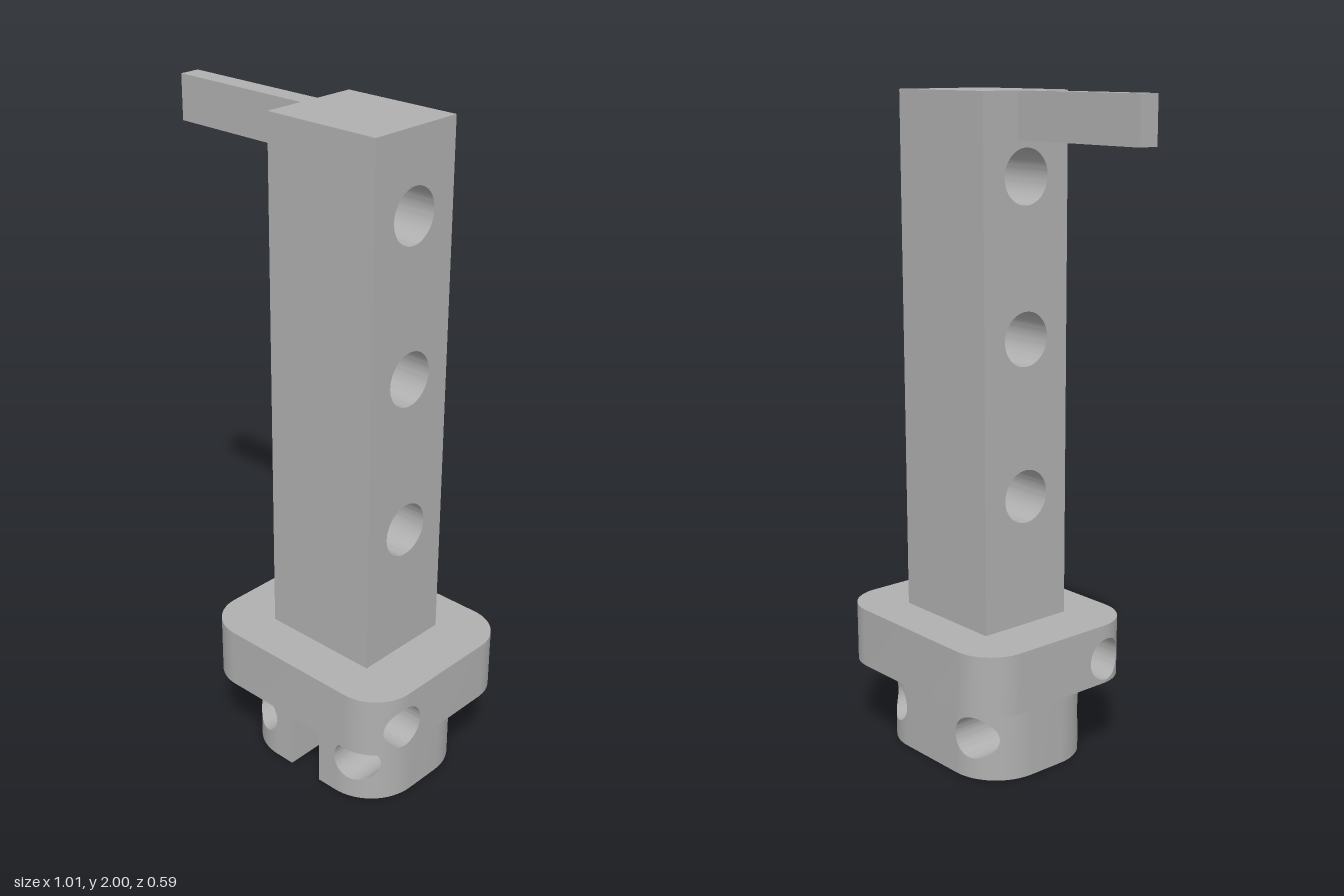
import * as THREE from 'three';
import { toCreasedNormals } from 'three/addons/utils/BufferGeometryUtils.js';

// Half-depth of a rounded rectangle (half sizes a, b, corner radius r) at offset u.
const rounded = (a, b, r) => (u) => {
  const d = Math.max(0, Math.abs(u) - (a - r));
  return b - r + Math.sqrt(Math.max(0, r * r - d * d));
};

// Sample positions along an arc from c - r to c + r, limited to [min, max].
function arc(c, r, min = -Infinity, max = Infinity, n = 32) {
  const list = [];
  for (let i = 0; i <= n; i++) {
    const u = c - r * Math.cos((Math.PI * i) / n);
    if (u > min && u < max) list.push(u);
  }
  return list;
}

// Upright slab running along u from uMin to uMax, between depths lo(u) and hi(u),
// drilled straight through its depth by round holes { u, y, r }.
function slab(uMin, uMax, samples, lo, hi, y0, y1, holes = []) {
  const pos = [];
  const tri = (a, b, c) => {
    const ab = new THREE.Vector3().subVectors(b, a), ac = new THREE.Vector3().subVectors(c, a);
    if (ab.cross(ac).length() > 1e-9) for (const p of [a, b, c]) pos.push(p.x, p.y, p.z);
  };
  const quad = (...q) => {
    const [a, b, c, d] = q.map((p) => new THREE.Vector3(...p));
    tri(a, b, c);
    tri(a, c, d);
  };
  const all = [uMin, uMax, ...samples, ...holes.flatMap((h) => arc(h.u, h.r))];
  const us = all.filter((u) => u >= uMin && u <= uMax).sort((a, b) => a - b)
    .filter((u, i, s) => i === 0 || u - s[i - 1] > 1e-6);

  for (let i = 0; i < us.length - 1; i++) {
    const u = us[i], v = us[i + 1], mid = (u + v) / 2;
    const cut = holes.filter((h) => Math.abs(mid - h.u) < h.r).sort((a, b) => a.y - b.y);
    const levels = (t) => [y0, ...cut.flatMap((h) => {
      const s = Math.sqrt(Math.max(0, h.r ** 2 - (t - h.u) ** 2));
      return [h.y - s, h.y + s];
    }), y1];
    const A = levels(u), B = levels(v);
    const l0 = lo(u), l1 = lo(v), h0 = hi(u), h1 = hi(v);
    for (let k = 0; k < A.length; k += 2) {
      const [a, b, c, d] = [A[k], B[k], B[k + 1], A[k + 1]];
      quad([u, a, h0], [v, b, h1], [v, c, h1], [u, d, h0]);
      quad([u, d, l0], [v, c, l1], [v, b, l1], [u, a, l0]);
      quad([u, d, h0], [v, c, h1], [v, c, l1], [u, d, l0]);
      quad([u, a, l0], [v, b, l1], [v, b, h1], [u, a, h0]);
    }
  }
  const p = uMin, q = uMax;
  quad([p, y0, lo(p)], [p, y0, hi(p)], [p, y1, hi(p)], [p, y1, lo(p)]);
  quad([q, y0, hi(q)], [q, y0, lo(q)], [q, y1, lo(q)], [q, y1, hi(q)]);
  const g = new THREE.BufferGeometry();
  g.setAttribute('position', new THREE.Float32BufferAttribute(pos, 3));
  return toCreasedNormals(g, 0.6);
}

export function createModel() {
  const model = new THREE.Group();
  const grey = new THREE.MeshStandardMaterial({ color: 0xb0b0b0 });
  grey.name = 'grey';
  const add = (name, geometry, x = 0, y = 0, parent = model) => {
    const mesh = new THREE.Mesh(geometry, grey);
    mesh.name = name;
    mesh.position.set(x, y, 0);
    parent.add(mesh);
  };

  // Square post with three cross holes running along x
  const postHoles = [0.837, 1.305, 1.765].map((y) => ({ u: 0, y, r: 0.08 }));
  add('post', slab(-0.156, 0.156, [], () => -0.187, () => 0.187, 0.44, 2, postHoles)
    .rotateY(-Math.PI / 2), 0.149);

  // Side arm at the top of the post
  add('arm', new THREE.BoxGeometry(0.472, 0.134, 0.063), -0.272, 1.933);

  // Rounded flange with an off-centre hole along x
  const fw = rounded(0.295, 0.355, 0.13);
  const flangeEnds = [...arc(-0.165, 0.13, -1, -0.164), ...arc(0.165, 0.13, 0.164)];
  add('flange', slab(-0.295, 0.295, flangeEnds, (u) => -fw(u), fw, 0.255, 0.44,
    [{ u: 0.177, y: 0.33, r: 0.065 }]).rotateY(-Math.PI / 2), 0.15);

  // Rounded plug: two drilled sides around a round socket that opens to the front by a slot
  const plug = new THREE.Group();
  plug.name = 'plug';
  plug.position.x = 0.15;
  model.add(plug);
  const half = 0.282, corner = 0.16, socket = 0.087, slot = 0.0575;
  const pw = rounded(half, 0.22, corner);
  const back = (u) => -pw(u);
  const bore = (u) => Math.sqrt(Math.max(0, socket ** 2 - u * u));
  const ring = arc(0, socket);
  for (const s of [-1, 1]) {
    const side = s < 0 ? 'right' : 'left';
    const c = s * (half - corner);
    const ends = s < 0 ? arc(c, corner, -1, c + 0.001) : arc(c, corner, c - 0.001);
    const [a, b] = s < 0 ? [-half, -socket] : [socket, half];
    add(side + 'PlugSide', slab(a, b, ends, back, pw, 0, 0.255,
      [{ u: s * 0.185, y: 0.13, r: 0.065 }]), 0, 0, plug);
    const [d, e] = s < 0 ? [-socket, -slot] : [slot, socket];
    add(side + 'SlotLip', slab(d, e, ring, bore, pw, 0, 0.255), 0, 0, plug);
  }
  add('socketBack', slab(-socket, socket, ring, back, (u) => -bore(u), 0, 0.255), 0, 0, plug);

  return model;
}
